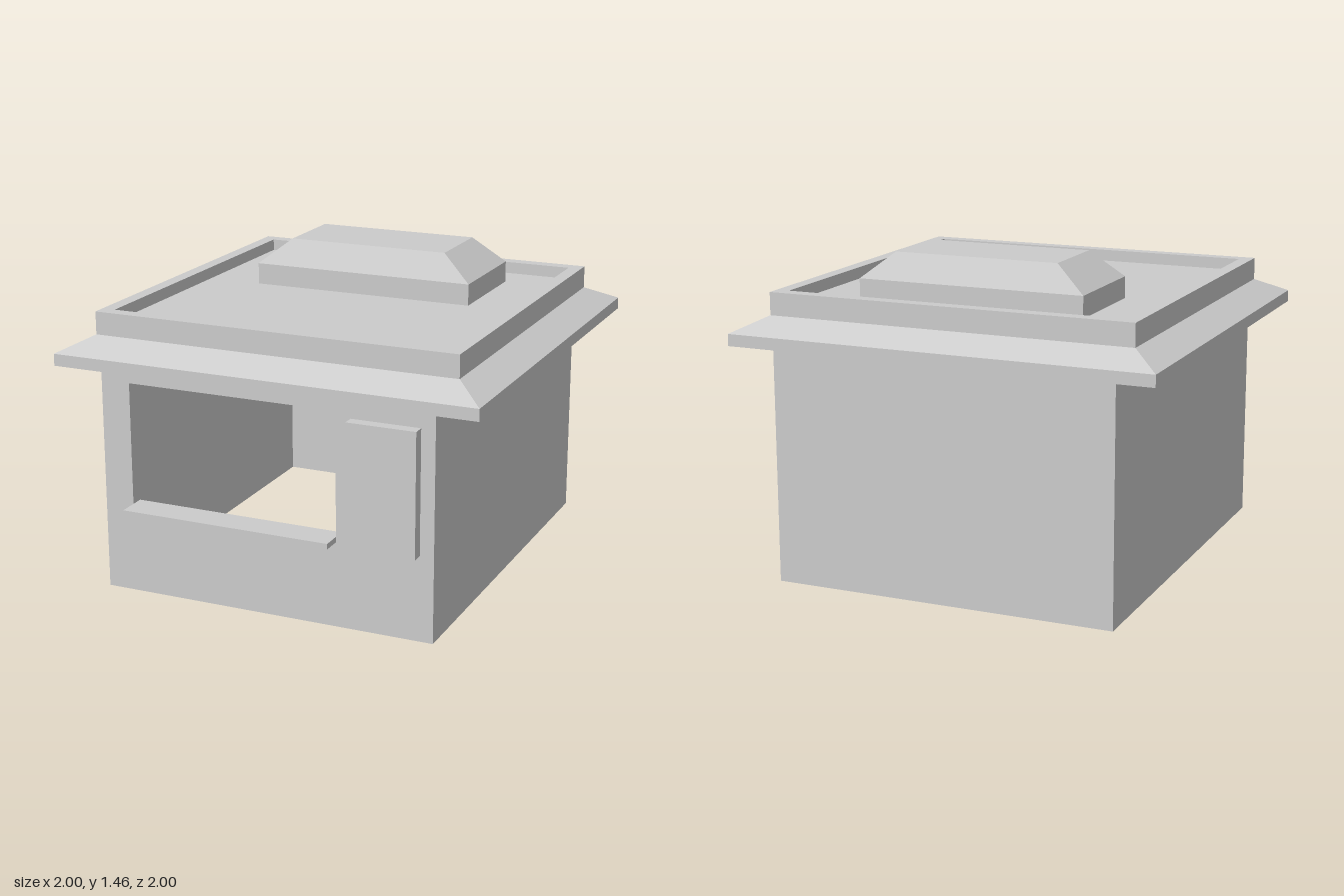
import * as THREE from 'three';

const material = new THREE.MeshStandardMaterial({ color: 0xcccccc, flatShading: true });

function add(group, name, geometry) {
  const mesh = new THREE.Mesh(geometry, material);
  mesh.name = name;
  group.add(mesh);
  return mesh;
}

// Box given by its limits on each axis
function boxBetween(x0, x1, y0, y1, z0, z1) {
  return new THREE.BoxGeometry(x1 - x0, y1 - y0, z1 - z0)
    .translate((x0 + x1) / 2, (y0 + y1) / 2, (z0 + z1) / 2);
}

// Closed solid through stacked rectangles, each { x: half width, z0, z1, y }
function rectLoft(rings) {
  const positions = [];
  const corners = rings.map(({ x, z0, z1, y }) => [[-x, y, z1], [x, y, z1], [x, y, z0], [-x, y, z0]]);
  const quad = (a, b, c, d) => positions.push(...a, ...b, ...c, ...a, ...c, ...d);
  for (let i = 0; i < corners.length - 1; i++) {
    const low = corners[i], high = corners[i + 1];
    for (let k = 0; k < 4; k++) {
      const n = (k + 1) % 4;
      quad(low[k], low[n], high[n], high[k]);
    }
  }
  const first = corners[0], last = corners[corners.length - 1];
  quad(first[3], first[2], first[1], first[0]);
  quad(...last);
  const geometry = new THREE.BufferGeometry();
  geometry.setAttribute('position', new THREE.Float32BufferAttribute(positions, 3));
  geometry.computeVertexNormals();
  return geometry;
}

function rectPoints(x0, x1, y0, y1) {
  return [[x0, y0], [x1, y0], [x1, y1], [x0, y1]].map(([x, y]) => new THREE.Vector2(x, y));
}

export function createModel() {
  const model = new THREE.Group();
  model.name = 'kiosk';

  // Hollow body, open underneath
  const left = -0.83, right = 0.77, back = -1, front = 0.885, top = 1.065, t = 0.06;
  const body = new THREE.Group();
  body.name = 'body';
  model.add(body);

  const frontShape = new THREE.Shape(rectPoints(left, right, 0, top));
  frontShape.holes.push(new THREE.Path(rectPoints(-0.69, 0.315, 0.395, 0.99).reverse()));
  add(body, 'frontWall', new THREE.ExtrudeGeometry(frontShape, { depth: t, bevelEnabled: false })
    .translate(0, 0, front - t));
  add(body, 'backWall', boxBetween(left, right, 0, top, back, back + t));
  add(body, 'sideWallRight', boxBetween(left, left + t, 0, top, back + t, front - t));
  add(body, 'sideWallLeft', boxBetween(right - t, right, 0, top, back + t, front - t));
  add(body, 'ceiling', boxBetween(left + t, right - t, 1.0, top, back + t, front - t));

  // Serving hatch sill and the shutter beside it
  add(model, 'counterSill', boxBetween(-0.69, 0.315, 0.395, 0.42, front - t, 0.975));
  add(model, 'shutter', boxBetween(0.385, 0.705, 0.395, 0.965, front, 0.94));

  // Roof: eave, slope, parapet and sunken deck
  const roofRings = [[1, 1.065], [1, 1.12], [0.862, 1.19], [0.862, 1.295], [0.8, 1.295], [0.8, 1.24]];
  add(model, 'roof', rectLoft(roofRings.map(([s, y]) => ({ x: s, z0: -s, z1: s, y }))));

  // Vent hood on the deck
  add(model, 'roofVent', rectLoft([
    { x: 0.538, z0: -0.622, z1: -0.105, y: 1.24 },
    { x: 0.538, z0: -0.622, z1: -0.105, y: 1.34 },
    { x: 0.39, z0: -0.55, z1: -0.178, y: 1.46 },
  ]));

  return model;
}
